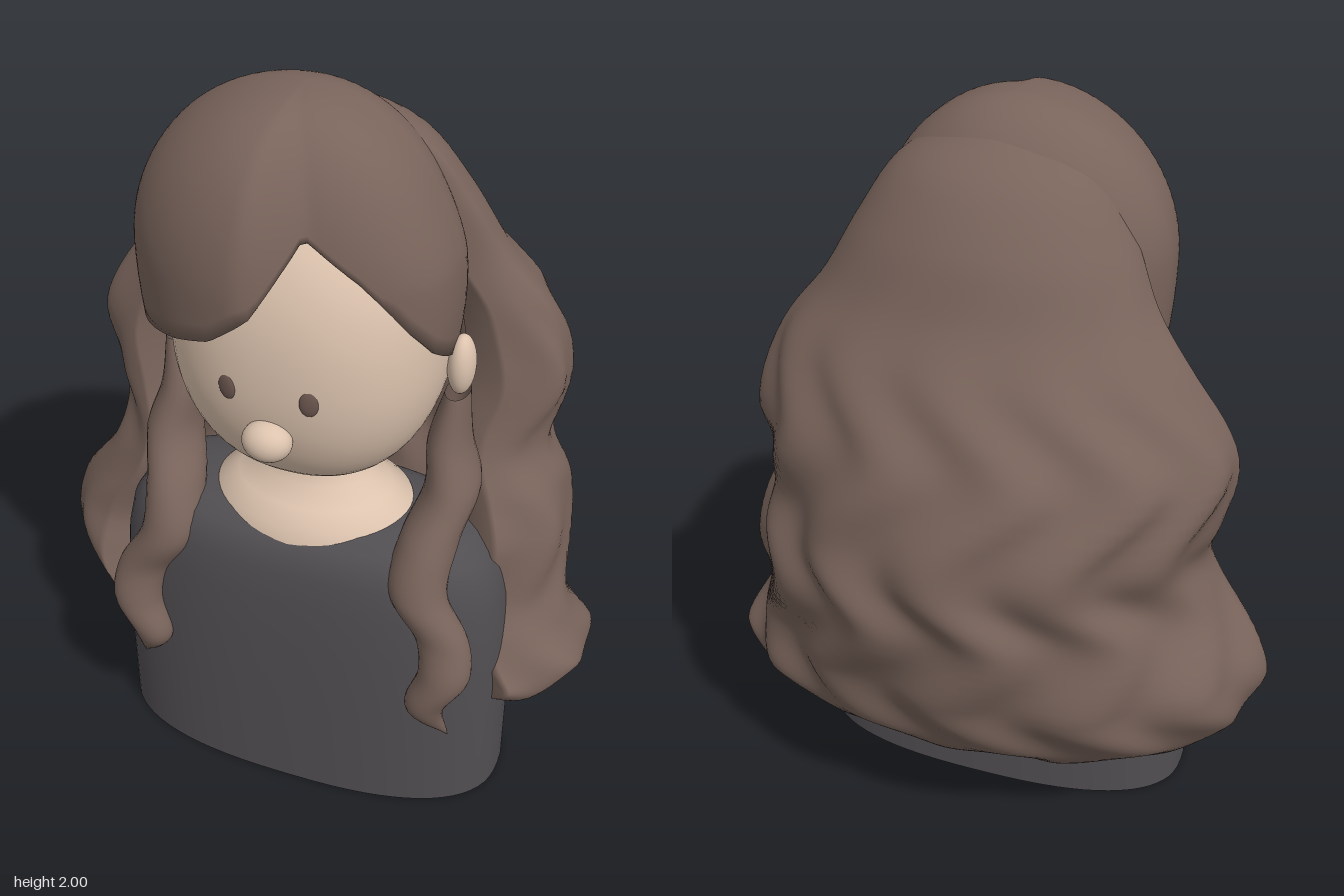
import * as THREE from 'three';
import { toCreasedNormals } from 'three/addons/utils/BufferGeometryUtils.js';

const CX = 0.024; // mirror plane of the figure
const mat = (name, color, side = THREE.FrontSide) => {
  const m = new THREE.MeshStandardMaterial({ color, side });
  m.name = name;
  return m;
};

// Closed-loop surface: u runs counter-clockwise seen from above, v runs upwards
function loft(nu, nv, fn) {
  const pos = [], idx = [];
  for (let j = 0; j <= nv; j++)
    for (let i = 0; i < nu; i++) pos.push(...fn(i / nu, j / nv, j));
  for (let j = 0; j < nv; j++)
    for (let i = 0; i < nu; i++) {
      const a = j * nu + i, b = j * nu + (i + 1) % nu;
      idx.push(a, b, a + nu, b, b + nu, a + nu);
    }
  const g = new THREE.BufferGeometry();
  g.setAttribute('position', new THREE.Float32BufferAttribute(pos, 3));
  g.setIndex(idx);
  g.computeVertexNormals();
  return g;
}

const curve = pts => new THREE.CatmullRomCurve3(pts.map(p => new THREE.Vector3(...p)));
const sstep = THREE.MathUtils.smoothstep, lerp = THREE.MathUtils.lerp;

function lookup(table, x) {
  for (let i = 1; i < table.length; i++) {
    const [x0, y0] = table[i - 1], [x1, y1] = table[i];
    if (x <= x1) return y0 + (y1 - y0) * (x - x0) / (x1 - x0);
  }
  return table[table.length - 1][1];
}

// Torso: superellipse sections rounding off at the shoulders
function bodyGeometry() {
  const rows = [ // y, half width, half depth
    [0, 0, 0], [0, 0.55, 0.252], [0.3, 0.55, 0.252], [0.5, 0.545, 0.25], [0.65, 0.53, 0.244],
    [0.74, 0.51, 0.235], [0.79, 0.48, 0.222], [0.825, 0.44, 0.2], [0.85, 0.38, 0.16], [0.865, 0.25, 0.1], [0.868, 0, 0],
  ];
  const se = c => Math.sign(c) * Math.abs(c) ** (2 / 2.5);
  const g = loft(72, rows.length - 1, (u, v, j) => {
    const [y, rx, rz] = rows[j], a = u * Math.PI * 2;
    return [CX + rx * se(Math.cos(a)), y, 0.18 - rz * se(Math.sin(a))];
  });
  return toCreasedNormals(g, 0.8);
}

// Head: unit sphere with slightly fuller cheeks and chin
function headGeometry() {
  const e = 2.25;
  return loft(64, 40, (u, v) => {
    const a = u * Math.PI * 2, r = Math.sin(v * Math.PI);
    const p = [r * Math.cos(a), -Math.cos(v * Math.PI), -r * Math.sin(a)];
    const n = p.reduce((s, c) => s + Math.abs(c) ** e, 0) ** (1 / e);
    return p.map(c => c / n);
  });
}

// Hair cap: dome with a hem that sweeps across the forehead
function capGeometry() {
  const hem = [ // degrees from the front towards +x, hem height
    [-180, 1.3], [-110, 1.3], [-90, 1.37], [-72, 1.4], [-53, 1.42], [-30, 1.46], [-14, 1.5], [0, 1.58],
    [9, 1.68], [16, 1.75], [35, 1.65], [45, 1.58], [55, 1.51], [70, 1.43], [90, 1.36], [110, 1.25], [180, 1.25],
  ];
  return loft(144, 30, (u, v, j) => {
    const b = u * Math.PI * 2 - Math.PI, deg = b * 180 / Math.PI;
    const h = lookup(hem, deg), w = Math.max(0, (j - 1) / 29);
    const low = Math.acos((h - 1.6) / (h < 1.6 ? 0.8 : 0.4));
    const phi = low * (1 - w), c = Math.cos(phi);
    const y = 1.6 + c * (c < 0 ? 0.8 : 0.4);
    const part = sstep(deg, -6, 20); // the left half lies flatter than the swept fringe
    const front = lerp(0.375, 0.28, part), bend = lerp(1, 0.7, part);
    const rx = Math.sin(b) > 0 ? 0.395 - 0.035 * sstep(c, -0.2, 0.5) : 0.415;
    const tuck = j === 0 ? 0.8 : 1, r = Math.sin(phi), cb = Math.cos(b);
    const z = cb > 0 ? front * r ** 0.7 * cb ** bend : 0.25 * r * cb;
    return [rx * r * tuck * Math.sin(b), y, 0.16 + z * tuck];
  });
}

// Long back hair: thick C-shaped shell with zigzag waves
function backHairGeometry() {
  const rows = [ // y, right edge, left edge, back z, widest z, front z
    [0.18, -0.45, 0.48, -0.07, 0.05, 0.1], [0.24, -0.54, 0.58, -0.2, 0.02, 0.2],
    [0.3, -0.64, 0.73, -0.31, 0.03, 0.27], [0.38, -0.71, 0.76, -0.39, 0.03, 0.28],
    [0.5, -0.76, 0.7, -0.45, 0.04, 0.25], [0.6, -0.74, 0.67, -0.48, 0.03, 0.21],
    [0.78, -0.63, 0.66, -0.51, 0.01, 0.2], [0.9, -0.59, 0.63, -0.52, -0.01, 0.17],
    [1.02, -0.62, 0.58, -0.51, -0.02, 0.13], [1.2, -0.65, 0.62, -0.45, -0.03, 0.085],
    [1.4, -0.53, 0.56, -0.35, -0.03, 0.07], [1.55, -0.42, 0.45, -0.26, 0, 0.08],
    [1.7, -0.35, 0.37, -0.2, 0.04, 0.1], [1.85, -0.25, 0.27, -0.1, 0.08, 0.12],
    [1.95, -0.06, 0.08, 0.06, 0.13, 0.15],
  ];
  const widths = curve(rows.map(r => [r[1], r[0], r[2]]));
  const depths = curve(rows.map(r => r.slice(3)));
  const D = 0.7; // how far the sides wrap to the front
  return loft(200, 80, (u, v) => {
    const w = widths.getPoint(v), d = depths.getPoint(v);
    const outer = u < 0.6, s = outer ? u / 0.597 : (1 - u) / 0.4;
    const th = -D + s * (Math.PI + 2 * D), sn = Math.sin(th);
    const cx = (w.x + w.z) / 2, rx = (w.z - w.x) / 2;
    const side = Math.max(0, sn), fade = 1 - sstep(w.y, 1.1, 1.75);
    const pleat = Math.sin(12 * th + 1.9 * Math.sin(w.y * 14));
    const wave = 1 + (0.01 + 0.026 * side) * fade * pleat - 0.01 * side * fade;
    const k = wave * (outer ? 1 : 1 - 0.22 * sstep(v, 0, 0.08));
    const depth = sn > 0 ? d.x - d.y : (d.z - d.y) / Math.sin(D);
    // pointed strands along a hem that rises towards the front
    const y = w.y + 0.03 * pleat * (1 - sstep(w.y, 0.22, 0.5)) + 0.06 * (1 - side) * (1 - sstep(w.y, 0.2, 0.42));
    return [cx + rx * k * Math.cos(th), y, d.y + depth * k * Math.abs(sn)];
  });
}

// Wavy lock hanging from the ear in front of the shoulder
function lockGeometry(mirror) {
  const path = curve([
    [-0.345, 1.26, 0.175], [-0.335, 1.12, 0.185], [-0.355, 1.0, 0.21], [-0.325, 0.88, 0.285], [-0.32, 0.75, 0.36],
    [-0.395, 0.62, 0.375], [-0.41, 0.52, 0.395], [-0.365, 0.4, 0.405], [-0.42, 0.27, 0.365],
  ]);
  const size = curve([
    [0.03, 0, 0.05], [0.055, 0, 0.077], [0.07, 0, 0.095], [0.075, 0, 0.095], [0.075, 0, 0.067],
    [0.07, 0, 0.055], [0.068, 0, 0.06], [0.052, 0, 0.048], [0.002, 0, 0.002],
  ]);
  return loft(24, 60, (u, v) => {
    const p = path.getPoint(1 - v), r = size.getPoint(1 - v), a = u * Math.PI * 2;
    const x = mirror ? 2 * CX - p.x : p.x;
    return [x + r.x * Math.cos(a), p.y, p.z - r.z * Math.sin(a)];
  });
}

export function createModel() {
  const group = new THREE.Group();
  const skin = mat('skin', 0xdcc3ae);
  const hair = mat('hair brown', 0x79645b, THREE.DoubleSide);
  const cloth = mat('dark cloth', 0x514e52);
  const eye = mat('eye brown', 0x6a554e);

  const add = (name, geometry, material) => {
    const m = new THREE.Mesh(geometry, material);
    m.name = name;
    group.add(m);
    return m;
  };
  const ball = (name, material, p, r, geometry = new THREE.SphereGeometry(1, 40, 28)) => {
    const m = add(name, geometry, material);
    m.position.set(...p);
    m.scale.set(...r);
    return m;
  };

  add('body', bodyGeometry(), cloth);

  // Neck flaring into the open collar
  const profile = [[0.28, 0.8], [0.262, 0.866], [0.205, 0.9], [0.15, 0.945], [0.12, 1.0], [0.11, 1.1]];
  const neck = add('neck', new THREE.LatheGeometry(profile.map(p => new THREE.Vector2(...p)), 48), skin);
  neck.position.set(CX, 0, 0.18);
  neck.scale.z = 0.74;

  // Head and face
  ball('head', skin, [CX, 1.4, 0.18], [0.345, 0.42, 0.312], headGeometry());
  ball('nose', skin, [CX, 1.23, 0.49], [0.062, 0.052, 0.05]);
  for (const s of [-1, 1]) {
    const name = s > 0 ? 'left' : 'right';
    ball(name + 'Eye', eye, [CX + s * 0.102, 1.355, 0.478], [0.024, 0.036, 0.01]).rotation.y = s * 0.26;
    ball(name + 'Ear', skin, [CX + s * 0.37, 1.325, 0.16], [0.035, 0.083, 0.046]);
    add(name + 'FrontLock', lockGeometry(s > 0), hair);
  }

  // Hair
  add('hairCap', capGeometry(), hair);
  add('backHair', backHairGeometry(), hair);
  return group;
}
